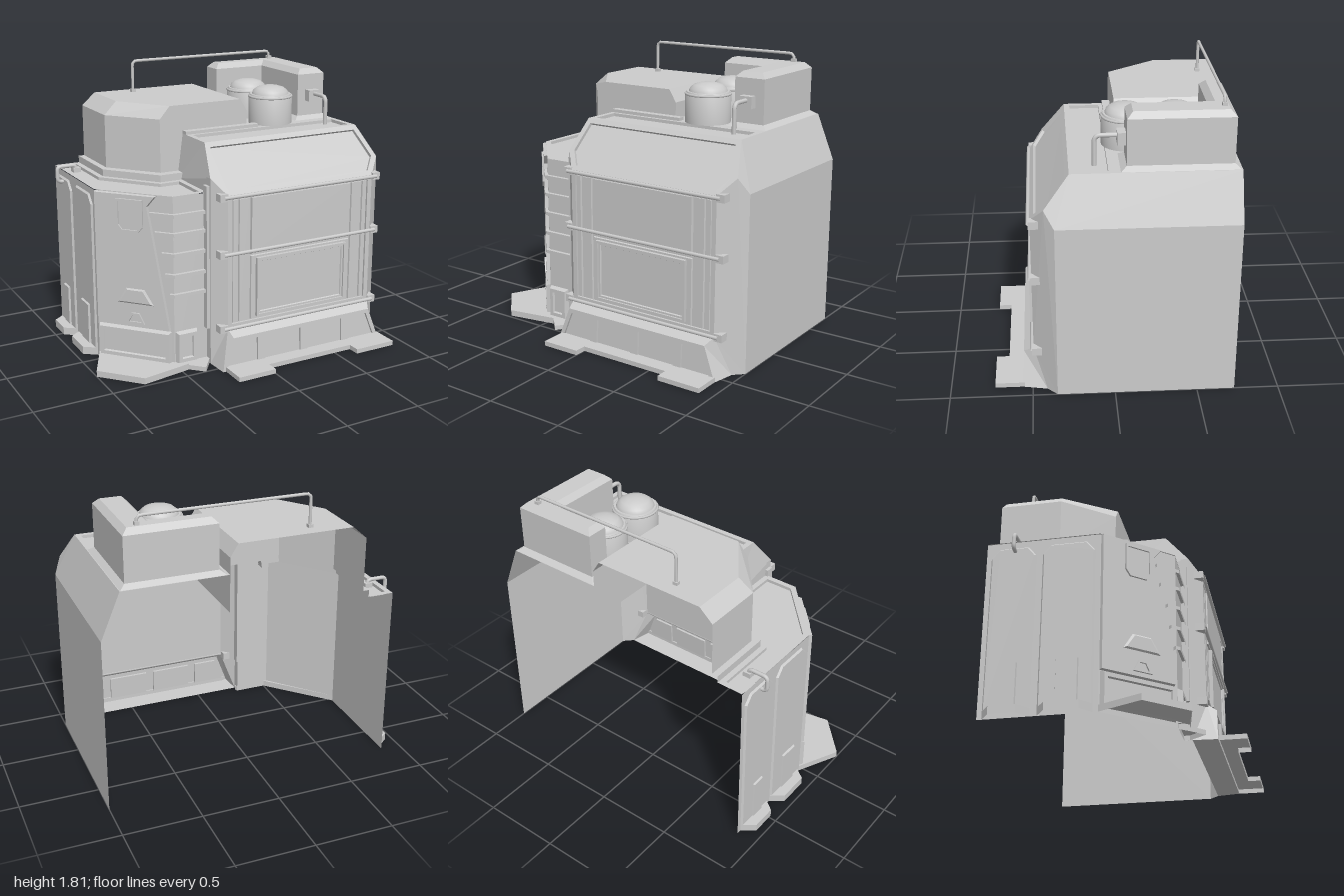
import * as THREE from 'three';
import { toCreasedNormals } from 'three/addons/utils/BufferGeometryUtils.js';

const V = (p) => new THREE.Vector3(...p);

// Newell normal of a 3D loop
function normalOf(loop) {
  const n = new THREE.Vector3();
  loop.forEach((p, i) => {
    const q = loop[(i + 1) % loop.length];
    n.x += (p[1] - q[1]) * (p[2] + q[2]);
    n.y += (p[2] - q[2]) * (p[0] + q[0]);
    n.z += (p[0] - q[0]) * (p[1] + q[1]);
  });
  return n.normalize();
}

// Shrink a loop by d in its plane and move it by h along its normal
function inset(loop, d, h = 0) {
  const N = normalOf(loop), L = loop.length;
  return loop.map((p, i) => {
    const side = (a, b) => N.clone().cross(V(b).sub(V(a)).normalize());
    const n1 = side(loop[(i + L - 1) % L], p), n2 = side(p, loop[(i + 1) % L]);
    const s = n1.clone().add(n2).multiplyScalar(d / (1 + n1.dot(n2)));
    return V(p).add(s).addScaledVector(N, h).toArray();
  });
}

export function createModel() {
  const group = new THREE.Group();
  const flat = new THREE.MeshStandardMaterial({ color: 0xcccccc, flatShading: true, side: THREE.DoubleSide });
  const smooth = new THREE.MeshStandardMaterial({ color: 0xcccccc, side: THREE.DoubleSide });

  const add = (name, geo, mat = flat) => {
    const m = new THREE.Mesh(geo, mat);
    m.name = name;
    group.add(m);
    return m;
  };

  // Skin a series of loops and close the last one
  const loft = (name, loops, cap = true) => {
    const pos = [];
    for (let k = 0; k + 1 < loops.length; k++) {
      const a = loops[k], b = loops[k + 1];
      a.forEach((p, i) => {
        const j = (i + 1) % a.length;
        pos.push(...p, ...a[j], ...b[j], ...p, ...b[j], ...b[i]);
      });
    }
    if (cap) {
      const top = loops[loops.length - 1], N = normalOf(top);
      const u = V(top[1]).sub(V(top[0])).normalize(), v = N.clone().cross(u);
      const flatPts = top.map((p) => new THREE.Vector2(V(p).dot(u), V(p).dot(v)));
      for (const f of THREE.ShapeUtils.triangulateShape(flatPts, [])) f.forEach((i) => pos.push(...top[i]));
    }
    const g = new THREE.BufferGeometry();
    g.setAttribute('position', new THREE.Float32BufferAttribute(pos, 3));
    g.computeVertexNormals();
    return add(name, g);
  };
  const sheet = (name, loop) => loft(name, [loop]);
  const recess = (name, loop, frame, depth) => loft(name, [loop, inset(loop, frame), inset(loop, frame, -depth)]);
  const raise = (name, loop, h, bevel = 0) => loft(name, [loop, inset(loop, bevel, h)]);
  const ring = (pts, y) => {
    const l = pts.map(([x, z]) => [x, y, z]);
    return normalOf(l).y < 0 ? l.reverse() : l;
  };
  const prism = (name, pts, y0, y1) => loft(name, [ring(pts, y0), ring(pts, y1)]);
  const box = (name, x0, x1, y0, y1, z0, z1) => {
    const g = new THREE.BoxGeometry(x1 - x0, y1 - y0, z1 - z0);
    return add(name, g.translate((x0 + x1) / 2, (y0 + y1) / 2, (z0 + z1) / 2));
  };
  const rect = (x0, x1, y0, y1, z) => [[x0, y0, z], [x1, y0, z], [x1, y1, z], [x0, y1, z]];
  // Pipe with rounded bends
  const pipe = (name, pts, r, bend = 0.04) => {
    const path = new THREE.CurvePath(), p = pts.map(V);
    let from = p[0];
    for (let i = 1; i < p.length - 1; i++) {
      const a = p[i].clone().add(p[i - 1].clone().sub(p[i]).setLength(bend));
      const b = p[i].clone().add(p[i + 1].clone().sub(p[i]).setLength(bend));
      path.add(new THREE.LineCurve3(from, a));
      path.add(new THREE.QuadraticBezierCurve3(a, p[i], b));
      from = b;
    }
    path.add(new THREE.LineCurve3(from, p[p.length - 1]));
    return add(name, new THREE.TubeGeometry(path, 60, r, 8), smooth);
  };

  // ---- Main block: open-backed shell ----
  recess('frontWall', rect(-0.21, 0.86, 0.25, 1.12, 0.49), 0.03, 0.015);
  recess('slopedFront', [[-0.21, 1.12, 0.49], [0.86, 1.12, 0.49], [0.95, 1.22, 0.41], [0.88, 1.41, 0.26],
    [-0.25, 1.41, 0.26], [-0.29, 1.22, 0.41]], 0.035, 0.02);
  sheet('leftWall', [[1, 0, 0.35], [1, 0, -0.73], [1, 1.12, -0.73], [1, 1.12, 0.35]]);
  sheet('leftRoofSlope', [[1, 1.12, 0.35], [1, 1.12, -0.73], [0.88, 1.41, -0.73], [0.88, 1.41, 0.26], [0.95, 1.22, 0.41]]);
  sheet('leftCorner', [[0.86, 0.25, 0.49], [0.94, 0, 0.41], [1, 0, 0.35], [1, 1.12, 0.35], [0.95, 1.22, 0.41], [0.86, 1.12, 0.49]]);
  sheet('rightCorner', [[-0.21, 0.25, 0.49], [-0.21, 1.12, 0.49], [-0.29, 1.22, 0.41], [-0.29, 0, 0.41]]);
  sheet('rightWall', [[-0.29, 0, 0.36], [-0.29, 0, 0.41], [-0.29, 1.22, 0.41], [-0.29, 1.22, 0.36]]);
  sheet('rightUpperWall', [[-0.29, 1.12, -0.04], [-0.29, 1.12, 0.38], [-0.29, 1.22, 0.41], [-0.25, 1.41, 0.26], [-0.25, 1.41, -0.04]]);
  recess('roofFront', ring([[-0.25, 0], [0.88, 0], [0.88, 0.26], [-0.25, 0.26]], 1.41), 0.035, 0.02);
  box('roofRearLip', -0.25, 0.28, 1.41, 1.43, -0.04, 0.01);

  // Rear roof with openings beneath the tanks
  const roof = new THREE.Shape([[0.22, 0], [0.88, 0], [0.88, 0.73], [0.22, 0.73]].map((p) => new THREE.Vector2(...p)));
  for (const c of [0.1, 0.39]) roof.holes.push(new THREE.Path().absarc(0.43, c, c < 0.2 ? 0.095 : 0.13, 0, Math.PI * 2, true));
  add('roofRear', new THREE.ShapeGeometry(roof, 24).rotateX(-Math.PI / 2).translate(0, 1.41, 0));

  // Front panels and window
  for (const s of [-1, 1]) for (const [a, b] of [[0.465, 0.5], [0.38, 0.455]]) {
    const x = [0.325 + s * a, 0.325 + s * b].sort((m, n) => m - n);
    raise('frontStrip', rect(x[0], x[1], 0.285, 1.09, 0.475), 0.012, 0.003);
  }
  raise('upperFrontPanel', rect(-0.045, 0.695, 0.72, 1.09, 0.475), 0.018, 0.003);
  raise('lowerFrontPanel', rect(-0.045, 0.695, 0.285, 0.71, 0.475), 0.012, 0.003);
  const win = rect(-0.01, 0.66, 0.305, 0.695, 0.487);
  loft('window', [win, inset(win, 0, 0.023), inset(win, 0.014, 0.023), inset(win, 0.014, 0.012),
    inset(win, 0.026, 0.012), inset(win, 0.03, 0.003)]);

  // Horizontal rails with end clamps
  for (const y of [0.255, 0.745, 1.11]) {
    pipe('frontRail', [[-0.24, y, 0.5], [0.89, y, 0.5]], 0.012);
    for (const x of [-0.24, 0.89]) box('railClamp', x - 0.028, x + 0.028, y - 0.024, y + 0.024, 0.44, 0.5);
  }

  // Skirt and front step
  loft('skirt', [
    [[-0.29, 0, 0.41], [0.94, 0, 0.41], [0.86, 0.25, 0.49], [-0.21, 0.25, 0.49]],
    [[-0.28, 0, 0.56], [0.91, 0, 0.56], [0.83, 0.21, 0.55], [-0.2, 0.21, 0.55]]], false);
  const low = [-0.28, 0, 0.32, 0.64, 0.91], high = [-0.2, 0, 0.32, 0.64, 0.83];
  for (let i = 0; i < 4; i++)
    recess('skirtPanel', [[low[i], 0, 0.56], [low[i + 1], 0, 0.56], [high[i + 1], 0.21, 0.55], [high[i], 0.21, 0.55]], 0.027, 0.015);
  prism('frontStep', [[-0.26, 0.55], [0.91, 0.55], [0.91, 0.73], [0.62, 0.73], [0.62, 0.65], [0, 0.65], [0, 0.73], [-0.26, 0.73]], 0, 0.03);

  // ---- Side annex: faceted wall, deck and ladder ----
  const path = [[-0.87, -0.73], [-0.87, -0.03], [-0.52, 0.36], [-0.29, 0.36]];
  // Map (u, y) points onto wall segment k, u running 0..1
  const onWall = (k, pts) => pts.map(([u, y]) => {
    const [a, b] = [path[k], path[k + 1]];
    return [a[0] + (b[0] - a[0]) * u, y, a[1] + (b[1] - a[1]) * u];
  });
  const uv = (u0, u1, y0, y1) => [[u0, y0], [u1, y0], [u1, y1], [u0, y1]];
  for (let k = 0; k < 3; k++) sheet('annexWall', onWall(k, uv(0, 1, 0, 1.12)));

  // Slanted armour plate, hatch and vent on the diagonal wall
  raise('diagonalPlate', onWall(1, [[0.01, 0.25], [0.96, 0.25], [0.69, 1.05], [0.8, 1.12], [0.01, 1.12]]), 0.022, 0.004);
  const face = (pts) => inset(onWall(1, pts), 0, 0.022);
  const hatch = face([[0.3, 0.92], [0.36, 0.88], [0.58, 0.88], [0.64, 0.92], [0.64, 1.09], [0.3, 1.09]]);
  loft('hatch', [hatch, inset(hatch, 0, 0.012), inset(hatch, 0.015, 0.012), inset(hatch, 0.015, 0.002)]);
  const vent = face([[0.4, 0.28], [0.64, 0.28], [0.57, 0.35], [0.47, 0.35]]);
  loft('vent', [vent, inset(vent, 0, 0.012), inset(vent, 0.012, 0.012), inset(vent, 0.012, 0.002)]);
  loft('ventHood', [face([[0.28, 0.41], [0.76, 0.41], [0.64, 0.51], [0.4, 0.51]]),
    inset(face([[0.32, 0.42], [0.72, 0.42], [0.62, 0.5], [0.42, 0.5]]), 0, 0.008)]);

  // Base blocks
  for (const [k, u0, u1] of [[1, 0.02, 0.97], [2, 0.03, 0.68]]) {
    const b = inset(onWall(k, uv(u0, u1, 0.03, 0.245)), 0);
    loft('annexBase', [b, inset(b, 0.012, 0.03), inset(b, 0.035, 0.03), inset(b, 0.04, 0.015)]);
  }

  // Ladder rungs bending round the corner
  [[1.005, -0.62], [0.885, -0.6], [0.755, -0.57], [0.62, -0.555], [0.49, -0.535]].forEach(([y, x]) => {
    const z = 0.36 + (x + 0.52) * 1.114;
    prism('ladderRung', [[x, z], [x - 0.014, z + 0.017], [-0.525, 0.385], [-0.3, 0.385], [-0.3, 0.36], [-0.52, 0.36]], y - 0.011, y + 0.011);
  });
  box('ladderPost', -0.31, -0.28, 0.24, 1.17, 0.35, 0.4);

  // Outer wall panels with flared feet
  for (const [z0, z1] of [[-0.7, -0.42], [-0.38, -0.06]]) {
    const u = (z) => (z + 0.73) / 0.7;
    raise('sidePanel', onWall(0, [[u(z0), 0.04], [u(z1), 0.04], [u(z1), 1.02], [u(z1 - 0.05), 1.08], [u(z0 + 0.05), 1.08], [u(z0), 1.02]]), 0.012, 0.01);
    raise('sideBlock', onWall(0, uv(u(z0 + 0.1), u(z1 - 0.08), 0.05, 0.33)), 0.025, 0.008);
    prism('sideFoot', [[-0.87, z0], [-0.95, z0 + 0.06], [-0.95, z1 - 0.06], [-0.87, z1]], 0, 0.05);
  }
  prism('sideStep', [[-1, 0.24], [-0.87, -0.03], [-0.5, 0.36], [-0.45, 0.42], [-0.78, 0.48]], 0, 0.04);
  prism('ladderStep', [[-0.5, 0.36], [-0.45, 0.42], [-0.37, 0.5], [-0.28, 0.38], [-0.29, 0.36]], 0, 0.03);

  // Deck walkway with a sunken channel
  recess('deck', ring([...path, [-0.29, 0.02], [-0.44, 0.02], [-0.7, -0.3], [-0.7, -0.73]], 1.125), 0.035, 0.02);

  // Upper housing on a plinth, open beneath
  const plinth = [[-0.7, -0.73], [-0.7, -0.3], [-0.44, 0.02], [-0.27, 0.02], [-0.27, -0.73]];
  const hull = [[-0.66, -0.73], [-0.66, -0.34], [-0.41, -0.04], [0.22, -0.04], [0.22, -0.73]];
  const crown = [[-0.57, -0.73], [-0.57, -0.36], [-0.34, -0.04], [0.17, -0.04], [0.17, -0.73]];
  const open = (name, loA, yA, loB, yB) => { // skin without the rear side
    for (let i = 0; i < loA.length - 1; i++) {
      const at = ([x, z], y) => [x, y, z];
      sheet(name, [at(loA[i], yA), at(loA[i + 1], yA), at(loB[i + 1], yB), at(loB[i], yB)]);
    }
  };
  open('plinth', plinth.slice(0, 4), 1.12, plinth.slice(0, 4), 1.17);
  open('plinthTop', plinth.slice(0, 4), 1.17, [...hull.slice(0, 3), [-0.27, -0.04]], 1.17);
  open('housingWall', hull, 1.17, hull, 1.515);
  open('housingBevel', hull, 1.515, crown, 1.595);
  sheet('housingRoof', ring(crown, 1.595));

  // ---- Roof equipment ----
  const ell = [[0.27, -0.69], [0.84, -0.69], [0.84, -0.07], [0.635, -0.07], [0.635, -0.55], [0.27, -0.55]];
  const l0 = ring(ell, 1.435);
  loft('roofUnit', [inset(l0, -0.035, -0.025), l0, ring(ell, 1.715), inset(ring(ell, 1.715), 0.035, 0.035)]);

  const profile = [[0.145, 1.41], [0.145, 1.585], [0.135, 1.605], [0.122, 1.605], [0.115, 1.625], [0.09, 1.645], [0.05, 1.657], [0, 1.66]];
  for (const z of [-0.39, -0.09]) {
    const g = new THREE.LatheGeometry(profile.map((p) => new THREE.Vector2(...p)), 32);
    add('tank', toCreasedNormals(g, 0.6), smooth).position.set(0.43, 0, z);
    add('tankRing', new THREE.TorusGeometry(0.142, 0.008, 6, 32).rotateX(Math.PI / 2), smooth).position.set(0.43, 1.59, z);
  }

  // Pipes and rails on the roof
  pipe('roofPipe', [[0.74, 1.4, 0.11], [0.74, 1.585, 0.11], [0.74, 1.585, -0.05]], 0.014);
  box('pipeBox', 0.695, 0.78, 1.535, 1.61, -0.08, -0.02);
  pipe('topRail', [[-0.33, 1.59, -0.63], [-0.33, 1.803, -0.63], [0.74, 1.803, -0.63], [0.74, 1.74, -0.63]], 0.01, 0.03);
  box('railFoot', -0.345, -0.315, 1.595, 1.615, -0.645, -0.615);
  box('railFoot', 0.725, 0.755, 1.75, 1.77, -0.645, -0.615);
  pipe('sidePipe', [[-0.79, 1.12, -0.55], [-0.79, 1.155, -0.55], [-0.92, 1.155, -0.55], [-0.92, 1.055, -0.55], [-0.87, 1.055, -0.55]], 0.013, 0.03);
  box('sidePipeFoot', -0.815, -0.765, 1.11, 1.14, -0.575, -0.525);
  return group;
}
